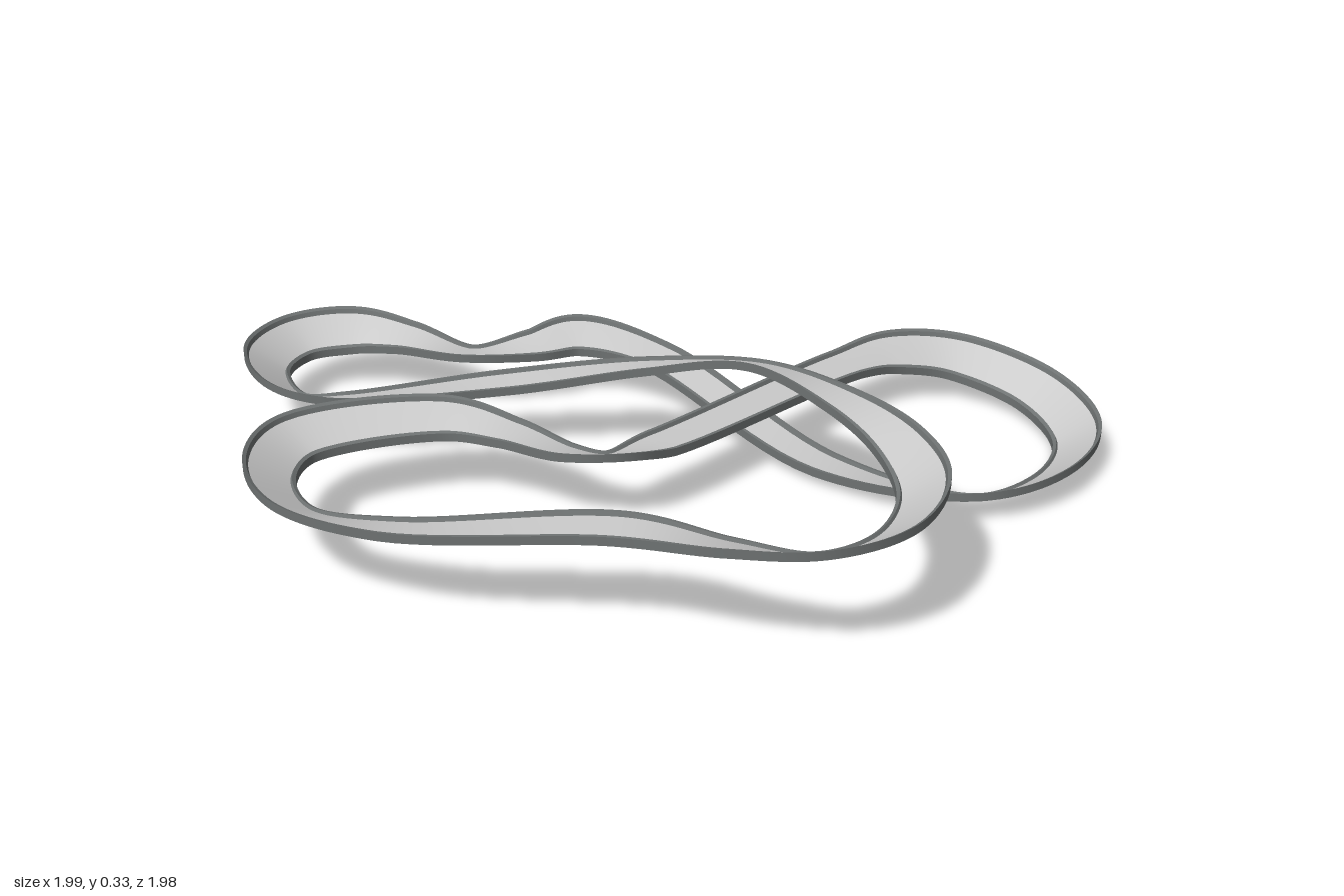
import * as THREE from 'three';

// centreline of the circuit: x, z, height, bank (rise of the left edge)
const path = [
  [0.19, 0.1, 0.174, 0], [0.19, -0.59, 0.15, 0.01], [0.22, -0.76, 0.14, 0.03],
  [0.32, -0.895, 0.116, 0.036], [0.54, -0.938, 0.085, 0.036], [0.745, -0.825, 0.067, 0.036],
  [0.815, -0.61, 0.06, 0.036], [0.74, -0.405, 0.049, 0.031], [0.37, -0.292, 0.038, 0.002],
  [-0.21, -0.288, 0.142, -0.01], [-0.4, -0.19, 0.172, -0.026], [-0.45, -0.07, 0.165, -0.012],
  [-0.55, 0.07, 0.153, 0.01], [-0.75, 0.13, 0.155, -0.016], [-0.88, 0.2, 0.156, -0.036],
  [-0.943, 0.33, 0.156, -0.038], [-0.885, 0.47, 0.156, -0.038], [-0.69, 0.543, 0.156, -0.036],
  [-0.555, 0.49, 0.165, -0.018], [-0.29, 0.17, 0.192, 0], [-0.02, -0.072, 0.247, -0.008],
  [0.25, -0.172, 0.306, -0.018], [0.5, -0.188, 0.294, 0], [0.7, -0.135, 0.284, 0.018],
  [0.865, -0.01, 0.278, 0.033], [0.935, 0.18, 0.276, 0.035], [0.885, 0.355, 0.278, 0.034],
  [0.74, 0.47, 0.284, 0.018], [0.525, 0.567, 0.278, 0], [0.13, 0.85, 0.228, 0.012],
  [-0.1, 0.93, 0.215, 0.03], [-0.285, 0.865, 0.215, 0.034], [-0.365, 0.73, 0.215, 0.034],
  [-0.22, 0.42, 0.208, 0.024], [-0.075, 0.345, 0.195, 0.004], [0.085, 0.31, 0.19, -0.014],
  [0.172, 0.24, 0.186, -0.024],
];
const HALF = 0.056;
const STEPS = path.length * 12;

// one frame per step: position, direction across the road (plan width stays constant)
function makeFrames() {
  const line = new THREE.CatmullRomCurve3(path.map(([x, z, y]) => new THREE.Vector3(x, y, z)), true);
  const bank = new THREE.CatmullRomCurve3(
    path.map((p) => new THREE.Vector3(p[3], 0, 0)), true, 'catmullrom');
  return Array.from({ length: STEPS }, (_, k) => {
    const t = k / STEPS;
    const d = line.getTangent(t).setY(0).normalize();
    const across = new THREE.Vector3(d.z, bank.getPoint(t).x / HALF, -d.x);
    return { pos: line.getPoint(t), across };
  });
}

// sweep a profile of [offset to the left, offset up]; each facet keeps its own sharp edges
function sweep(name, frames, profile, material) {
  const positions = [];
  const index = [];
  for (let i = 0; i + 1 < profile.length; i++) {
    const base = positions.length / 3;
    frames.forEach(({ pos, across }, k) => {
      for (const [side, up] of [profile[i], profile[i + 1]]) {
        const p = pos.clone().addScaledVector(across, side);
        positions.push(p.x, p.y + up, p.z);
      }
      const a = base + 2 * k;
      const b = base + 2 * ((k + 1) % STEPS);
      index.push(a, a + 1, b + 1, a, b + 1, b);
    });
  }
  const geometry = new THREE.BufferGeometry();
  geometry.setAttribute('position', new THREE.Float32BufferAttribute(positions, 3));
  geometry.setIndex(index);
  geometry.computeVertexNormals();
  const mesh = new THREE.Mesh(geometry, material);
  mesh.name = name;
  return mesh;
}

export function createModel() {
  const group = new THREE.Group();
  group.name = 'raceCircuit';
  const grey = new THREE.MeshStandardMaterial({ color: 0xcccccc });
  const dark = new THREE.MeshStandardMaterial({ color: 0x6e7272 });
  const frames = makeFrames();

  // kerb profile on the left side, mirrored for the right
  const leftKerb = [[HALF, -0.012], [HALF, 0.009], [0.048, 0.009], [0.044, 0]];
  const rightKerb = leftKerb.map(([s, u]) => [-s, u]).reverse();

  group.add(
    sweep('roadSurface', frames, [[0.044, 0], [-0.044, 0]], grey),
    sweep('leftKerb', frames, leftKerb, dark),
    sweep('rightKerb', frames, rightKerb, dark),
    sweep('underside', frames, [[-HALF, -0.012], [HALF, -0.012]], dark),
  );

  // rest the lowest point on the ground and centre the plan
  const box = new THREE.Box3().setFromObject(group);
  const centre = box.getCenter(new THREE.Vector3());
  group.position.set(-centre.x, -box.min.y, -centre.z);
  return group;
}
